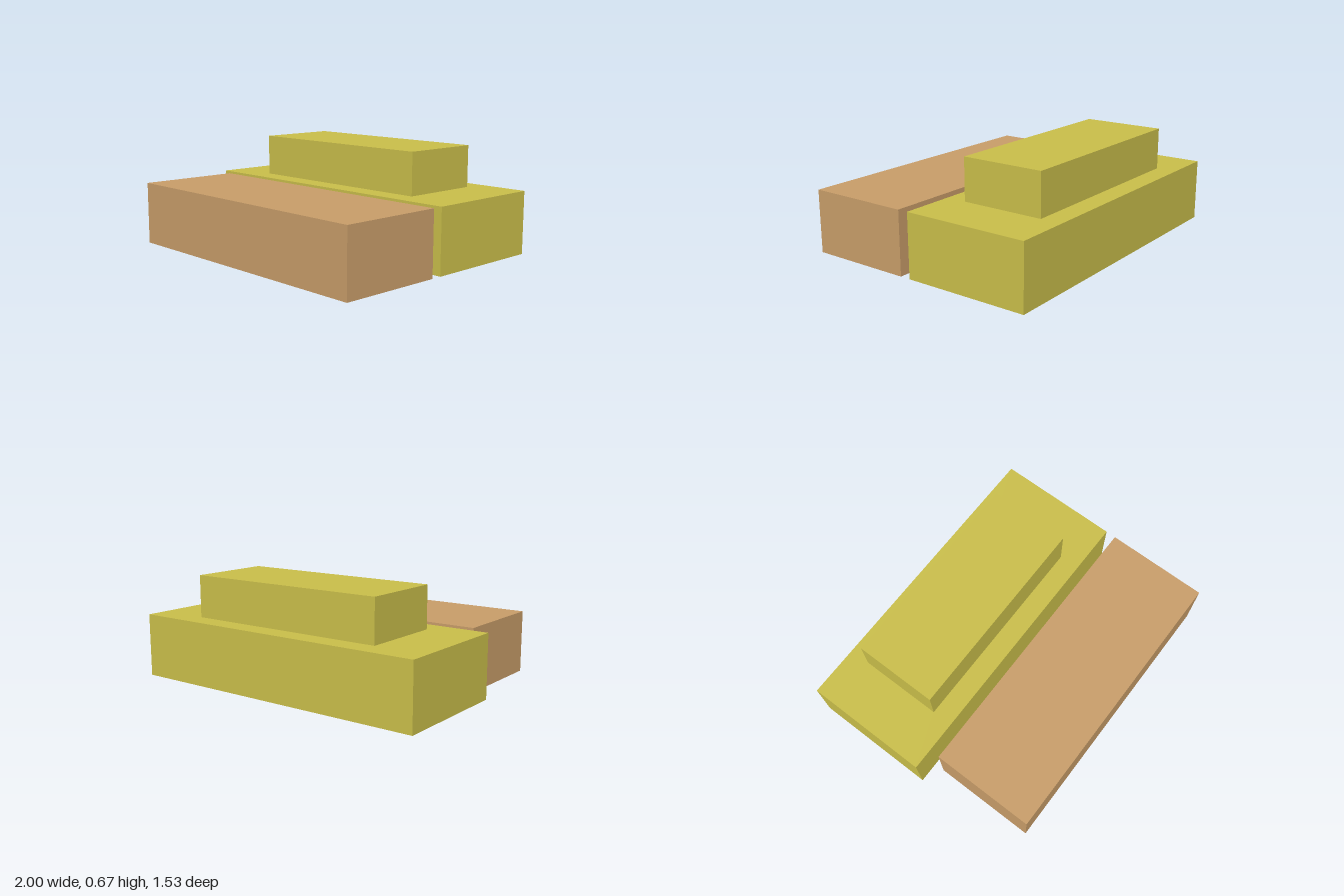
import * as THREE from 'three';

const olive = new THREE.MeshStandardMaterial({ color: 0xc9be4a });
olive.name = 'olive yellow';
const tan = new THREE.MeshStandardMaterial({ color: 0xc89d69 });
tan.name = 'tan';

// Box given by its minimum and maximum corners
function block(name, material, min, max) {
  const size = max.map((v, i) => v - min[i]);
  const mesh = new THREE.Mesh(new THREE.BoxGeometry(...size), material);
  mesh.position.set(...max.map((v, i) => (v + min[i]) / 2));
  mesh.name = name;
  return mesh;
}

export function createModel() {
  const model = new THREE.Group();
  model.name = 'blockBuildings';

  // Rear building: wide base with a smaller upper storey
  const rear = new THREE.Group();
  rear.name = 'rearBuilding';
  rear.add(
    block('rearBase', olive, [-1, 0, -0.767], [1, 0.4, 0.033]),
    block('upperStorey', olive, [-0.667, 0.4, -0.633], [0.663, 0.667, -0.1])
  );

  // Front building: one long block beyond a narrow gap
  model.add(rear, block('frontBuilding', tan, [-0.867, 0, 0.1], [1, 0.4, 0.767]));
  return model;
}
